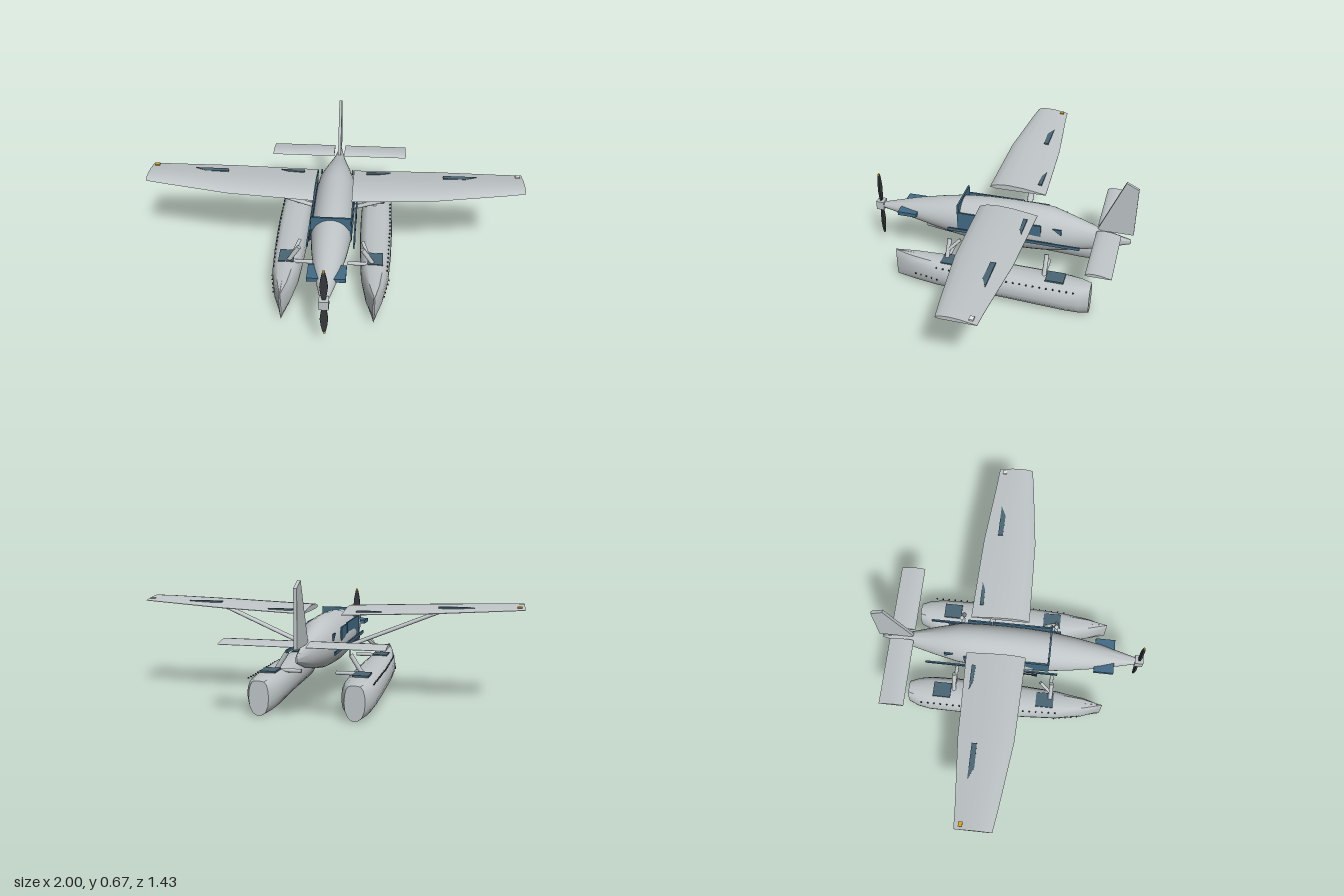
import * as THREE from 'three';
import { toCreasedNormals } from 'three/addons/utils/BufferGeometryUtils.js';

const mat = (name, color) => Object.assign(new THREE.MeshStandardMaterial({ color }), { name });

// Skin a closed surface over rings of [x, y, z] points, with capped ends
function loft(rings) {
  const n = rings[0].length, pos = rings.flat(2), idx = [];
  for (let i = 0; i < rings.length - 1; i++) {
    for (let j = 0; j < n; j++) {
      const a = i * n + j, b = i * n + (j + 1) % n;
      idx.push(a, a + n, b, b, a + n, b + n);
    }
  }
  [0, rings.length - 1].forEach((r, end) => {
    const c = pos.length / 3;
    for (let k = 0; k < 3; k++) pos.push(rings[r].reduce((s, p) => s + p[k], 0) / n);
    for (let j = 0; j < n; j++) {
      const a = r * n + j, b = r * n + (j + 1) % n;
      idx.push(c, end ? b : a, end ? a : b);
    }
  });
  // Turn the faces outward if the enclosed volume comes out negative
  const v = i => new THREE.Vector3().fromArray(pos, i * 3);
  let volume = 0;
  for (let i = 0; i < idx.length; i += 3) volume += v(idx[i]).dot(v(idx[i + 1]).cross(v(idx[i + 2])));
  if (volume < 0) idx.reverse();
  const g = new THREE.BufferGeometry();
  g.setAttribute('position', new THREE.Float32BufferAttribute(pos, 3));
  g.setIndex(idx);
  return toCreasedNormals(g, 0.7);
}

const shapeOf = pts => new THREE.Shape(pts.map(p => new THREE.Vector2(...p)));
const extrude = (pts, depth) => new THREE.ExtrudeGeometry(shapeOf(pts), { depth, bevelEnabled: false });
// Upright plate from [z, y] points, centred on x
const sidePlate = (pts, x, t) => extrude(pts, t).rotateY(-Math.PI / 2).translate(x + t / 2, 0, 0);
// Level plate from [x, z] points, with its top at y
const topPlate = (pts, y, t) => extrude(pts, t).rotateX(Math.PI / 2).translate(0, y, 0);
// Box given by its extents
const box = (x0, x1, y0, y1, z0, z1) => new THREE.BoxGeometry(x1 - x0, y1 - y0, z1 - z0)
  .translate((x0 + x1) / 2, (y0 + y1) / 2, (z0 + z1) / 2);

// Aerofoil outline: [fraction of chord, fraction of thickness]
const FOIL = [[0, 0.25], [0.04, 0.55], [0.14, 0.85], [0.32, 1], [0.6, 0.8], [1, 0.1], [1, 0], [0.5, 0], [0.1, 0]];
// Stations are [x, leading z, trailing z, bottom y, thickness]
const foil = (stations, s) => loft(stations.map(([x, le, te, y, t]) =>
  FOIL.map(([u, v]) => [s * x, y + v * t, le + (te - le) * u])));

export function createModel() {
  const root = new THREE.Group();
  root.name = 'floatplane';
  const grey = mat('body grey', 0xbfc5c7), glass = mat('glass blue', 0x426c86);
  const hatchBlue = mat('hatch slate', 0x4b6674), dark = mat('dark metal', 0x35383b);
  const yellow = mat('marker yellow', 0xd9a81e), white = mat('lamp white', 0xe8eaea);
  const add = (name, geometry, material, parent = root) => {
    const m = new THREE.Mesh(geometry, material);
    m.name = name;
    parent.add(m);
    return m;
  };
  const rod = (name, a, b, r, material, flat = 1) => {
    const A = new THREE.Vector3(...a), B = new THREE.Vector3(...b), d = B.clone().sub(A);
    const m = add(name, new THREE.CylinderGeometry(r, r, d.length(), 12).scale(flat, 1, 1), material);
    m.position.copy(A).add(B).multiplyScalar(0.5);
    m.quaternion.setFromUnitVectors(new THREE.Vector3(0, 1, 0), d.normalize());
  };

  // Fuselage: [z, bottom y, top y, half width]
  const hull = [
    [0.68, 0.297, 0.328, 0.018], [0.58, 0.283, 0.355, 0.043], [0.48, 0.267, 0.382, 0.067],
    [0.34, 0.237, 0.414, 0.09], [0.22, 0.212, 0.438, 0.104], [0.08, 0.196, 0.452, 0.111],
    [-0.06, 0.19, 0.456, 0.112], [-0.18, 0.194, 0.455, 0.109], [-0.28, 0.2, 0.451, 0.101],
    [-0.4, 0.22, 0.415, 0.074], [-0.54, 0.25, 0.37, 0.037], [-0.7, 0.303, 0.331, 0.005]];
  add('fuselage', loft(hull.map(([z, y0, y1, w]) => Array.from({ length: 32 }, (_, j) => {
    const a = j / 32 * Math.PI * 2;
    return [w * Math.cos(a), (y0 + y1) / 2 + (y1 - y0) / 2 * Math.sin(a), z];
  }))), grey);
  add('windshield', box(-0.104, 0.104, 0.375, 0.452, 0.207, 0.216), glass);
  add('noseIntake', box(-0.095, 0.095, 0.325, 0.346, 0.455, 0.56), glass);

  // Propeller
  const prop = new THREE.Group();
  prop.name = 'propeller';
  prop.position.set(0, 0.315, 0.695);
  root.add(prop);
  add('hub', new THREE.BoxGeometry(0.048, 0.05, 0.044), grey, prop);
  const bladeShape = [[0.006, 0.015], [0.014, 0.05], [0.02, 0.1], [0.016, 0.14], [0.007, 0.185]];
  const blade = [...bladeShape, ...bladeShape.map(([x, y]) => [-x, y]).reverse()];
  for (const s of [0, 1]) {
    const arm = new THREE.Group();
    arm.name = 'bladeArm';
    arm.rotation.z = s * Math.PI;
    prop.add(arm);
    add('blade', extrude(blade, 0.01).translate(0, 0, -0.005), dark, arm);
    add('bladeTip', box(-0.006, 0.006, 0.184, 0.195, -0.004, 0.004), yellow, arm);
  }

  // Tail fin
  add('fin', sidePlate([[-0.52, 0.365], [-0.71, 0.365], [-0.71, 0.64], [-0.645, 0.672]], 0, 0.016), grey);

  // Half cross-section of a float: [fraction of half width, fraction of height]
  const half = [[0.55, 0.98], [0.82, 0.88], [0.97, 0.7], [1, 0.48], [0.92, 0.28], [0.66, 0.1], [0.3, 0.02]];
  const section = [[0, 1], ...half, [0, 0], ...half.map(([x, y]) => [-x, y]).reverse()];
  // Float stations: [z, bottom y, top y, half width]
  const keel = [
    [0.525, 0.035, 0.203, 0.004], [0.42, 0.026, 0.198, 0.045], [0.28, 0.025, 0.192, 0.072],
    [0.1, 0.029, 0.19, 0.084], [-0.1, 0.029, 0.19, 0.09], [-0.25, 0.022, 0.188, 0.091],
    [-0.42, 0.012, 0.184, 0.088], [-0.49, 0.006, 0.182, 0.074], [-0.54, 0.003, 0.176, 0.05]];

  for (const s of [1, -1]) {
    // Wing, tailplane and wing strut
    add('wing', foil([[0.1, 0.09, -0.22, 0.46, 0.03], [0.55, 0.078, -0.205, 0.478, 0.03],
      [0.9, 0.035, -0.172, 0.497, 0.024], [1, 0.02, -0.165, 0.503, 0.02]], s), grey);
    add('tailplane', foil([[0.03, -0.52, -0.65, 0.364, 0.017], [0.395, -0.52, -0.65, 0.364, 0.017]], s), grey);
    rod('wingStrut', [s * 0.6, 0.483, -0.07], [s * 0.11, 0.287, -0.12], 0.017, grey, 0.6);
    // Wing panels and tip lamps
    add('outerWingPanel', topPlate([[s * 0.58, -0.13], [s * 0.76, -0.13], [s * 0.7, -0.102], [s * 0.58, -0.105]], 0.507, 0.009), hatchBlue);
    add('innerWingPanel', topPlate([[s * 0.17, -0.182], [s * 0.3, -0.182], [s * 0.26, -0.165], [s * 0.17, -0.162]], 0.482, 0.009), hatchBlue);
    add('wingTipLamp', box(s * 0.975 - 0.012, s * 0.975 + 0.012, 0.512, 0.519, -0.145, -0.125), s > 0 ? white : yellow);

    // Side windows, waistline stripe and door fittings
    add('cabinWindow', sidePlate([[0.215, 0.305], [0.215, 0.408], [-0.105, 0.408], [-0.105, 0.305]], s * 0.104, 0.008), glass);
    add('rearWindow', sidePlate([[-0.11, 0.345], [-0.11, 0.403], [-0.24, 0.403], [-0.24, 0.337]], s * 0.104, 0.008), glass);
    add('quarterWindow', sidePlate([[-0.3, 0.384], [-0.346, 0.384], [-0.346, 0.35]], s * 0.088, 0.008), glass);
    add('stripe', box(s * 0.121 - 0.004, s * 0.121 + 0.004, 0.299, 0.315, -0.45, 0.265), glass);
    add('doorSill', box(s * 0.121 - 0.003, s * 0.121 + 0.003, 0.262, 0.268, -0.1, 0.14), dark);
    add('doorPost', box(s * 0.121 - 0.003, s * 0.121 + 0.003, 0.225, 0.3, -0.1, -0.094), dark);
    add('doorHandle', box(s * 0.121 - 0.005, s * 0.121 + 0.005, 0.256, 0.267, 0.127, 0.158), dark);

    // Float with deck hatches, legs and spreader bars
    const cx = s * 0.235;
    add('float', loft(keel.map(([z, y0, y1, w]) =>
      section.map(([u, v]) => [cx + u * w, y0 + (y1 - y0) * v, z]))), grey);
    for (const z of [0.212, -0.353]) {
      add('deckHatch', box(cx - 0.04, cx + 0.04, 0.186, 0.195, z - 0.048, z + 0.048), hatchBlue);
    }
    for (const z of [0.24, -0.29]) {
      rod('floatLeg', [s * 0.225, 0.18, z], [s * 0.165, 0.275, z], 0.012, grey);
      rod('spreaderBar', [s * 0.2, 0.18, z], [s * 0.09, 0.18, z], 0.01, grey);
    }
    rod('floatBrace', [s * 0.2, 0.225, 0.24], [s * 0.165, 0.28, 0.18], 0.009, grey);
    // Rivets along the outer deck edge and bow
    for (let z = -0.46; z < 0.3; z += 0.035) {
      const w = z > -0.1 ? 0.09 - (z + 0.1) * 0.045 : 0.09;
      add('rivet', new THREE.BoxGeometry(0.007, 0.006, 0.007).translate(cx + s * w * 0.86, 0.169, z), dark);
    }
    for (let i = 0; i < 5; i++) {
      add('bowRivet', new THREE.BoxGeometry(0.006, 0.006, 0.006)
        .translate(cx + s * (0.052 + i * 0.0058), 0.1, 0.4 - i * 0.032), dark);
    }
  }
  return root;
}
